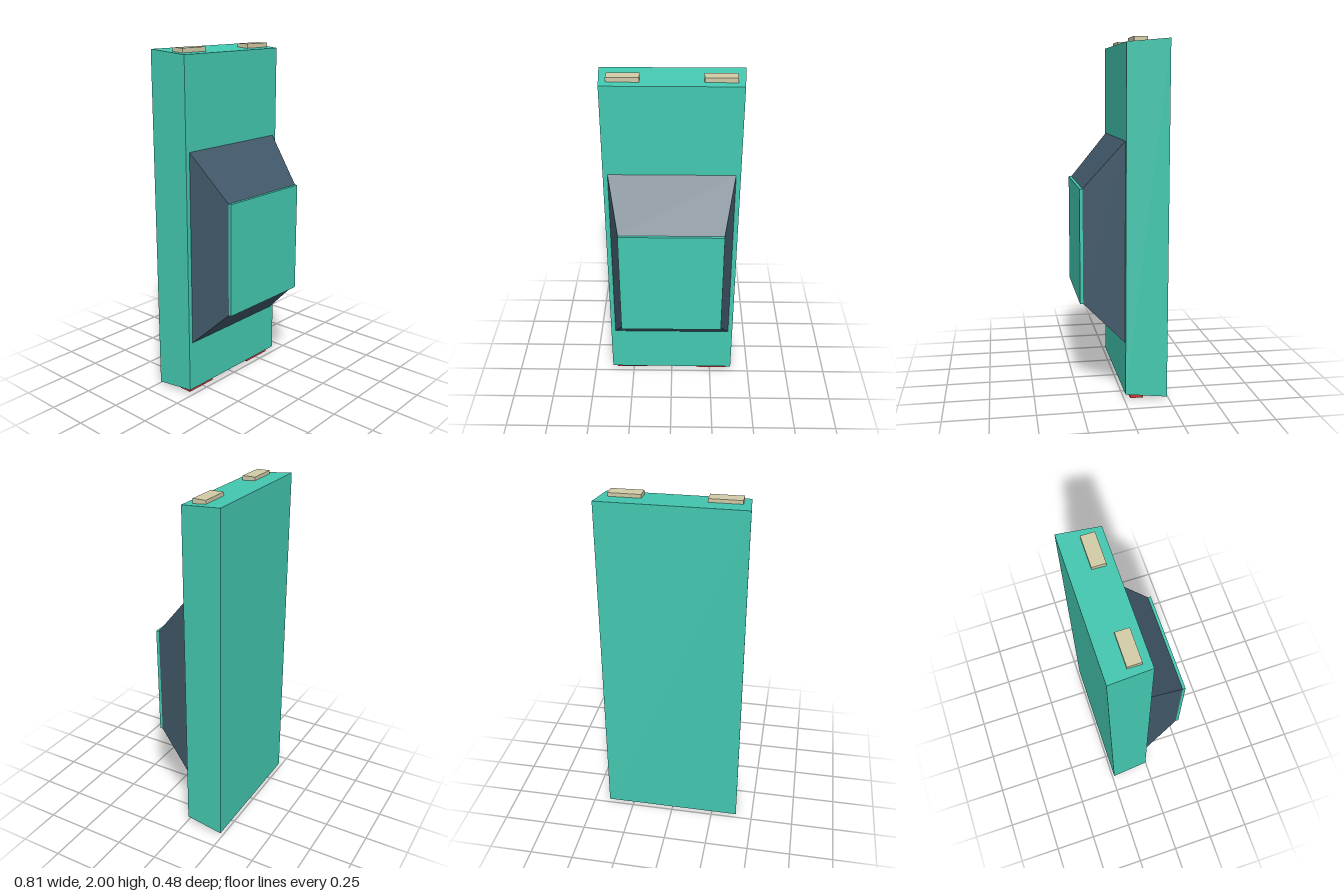
import * as THREE from 'three';

const material = (name, color) => {
  const m = new THREE.MeshStandardMaterial({ color });
  m.name = name;
  return m;
};

// Tapered block along z: each end is { z, w: half width, y0, y1 }
function taperedBlock(back, front) {
  const geo = new THREE.BoxGeometry(2, 2, 2);
  const p = geo.attributes.position;
  for (let i = 0; i < p.count; i++) {
    const end = p.getZ(i) > 0 ? front : back;
    p.setXYZ(i, p.getX(i) * end.w, p.getY(i) > 0 ? end.y1 : end.y0, end.z);
  }
  geo.computeVertexNormals();
  return geo;
}

export function createModel() {
  const paint = material('teal paint', 0x43c8b0);
  const glass = material('dark glass', 0x42596a);
  const cream = material('cream lamp', 0xd2cba8);
  const red = material('red lamp', 0xcc3535);

  const model = new THREE.Group();
  model.name = 'car';
  const add = (name, geo, mat) => {
    const mesh = new THREE.Mesh(geo, mat);
    mesh.name = name;
    model.add(mesh);
    return mesh;
  };

  // Body, slightly wider and longer at the back
  add('body', taperedBlock(
    { z: -0.238, w: 0.403, y0: 0.015, y1: 1.99 },
    { z: -0.005, w: 0.386, y0: 0.035, y1: 1.97 }), paint);

  // Glass cabin tapering to the roof
  add('cabin', taperedBlock(
    { z: -0.005, w: 0.359, y0: 0.33, y1: 1.453 },
    { z: 0.22, w: 0.296, y0: 0.546, y1: 1.192 }), glass);

  // Roof plate
  add('roof', taperedBlock(
    { z: 0.22, w: 0.296, y0: 0.546, y1: 1.192 },
    { z: 0.237, w: 0.296, y0: 0.546, y1: 1.192 }), paint);

  // Lamps on both ends
  for (const [side, s] of [['left', 1], ['right', -1]]) {
    add(`${side}Headlight`, new THREE.BoxGeometry(0.179, 0.025, 0.075), cream)
      .position.set(s * 0.262, 1.9875, -0.088);
    add(`${side}TailLight`, new THREE.BoxGeometry(0.197, 0.028, 0.074), red)
      .position.set(s * 0.26, 0.014, -0.073);
  }
  return model;
}
